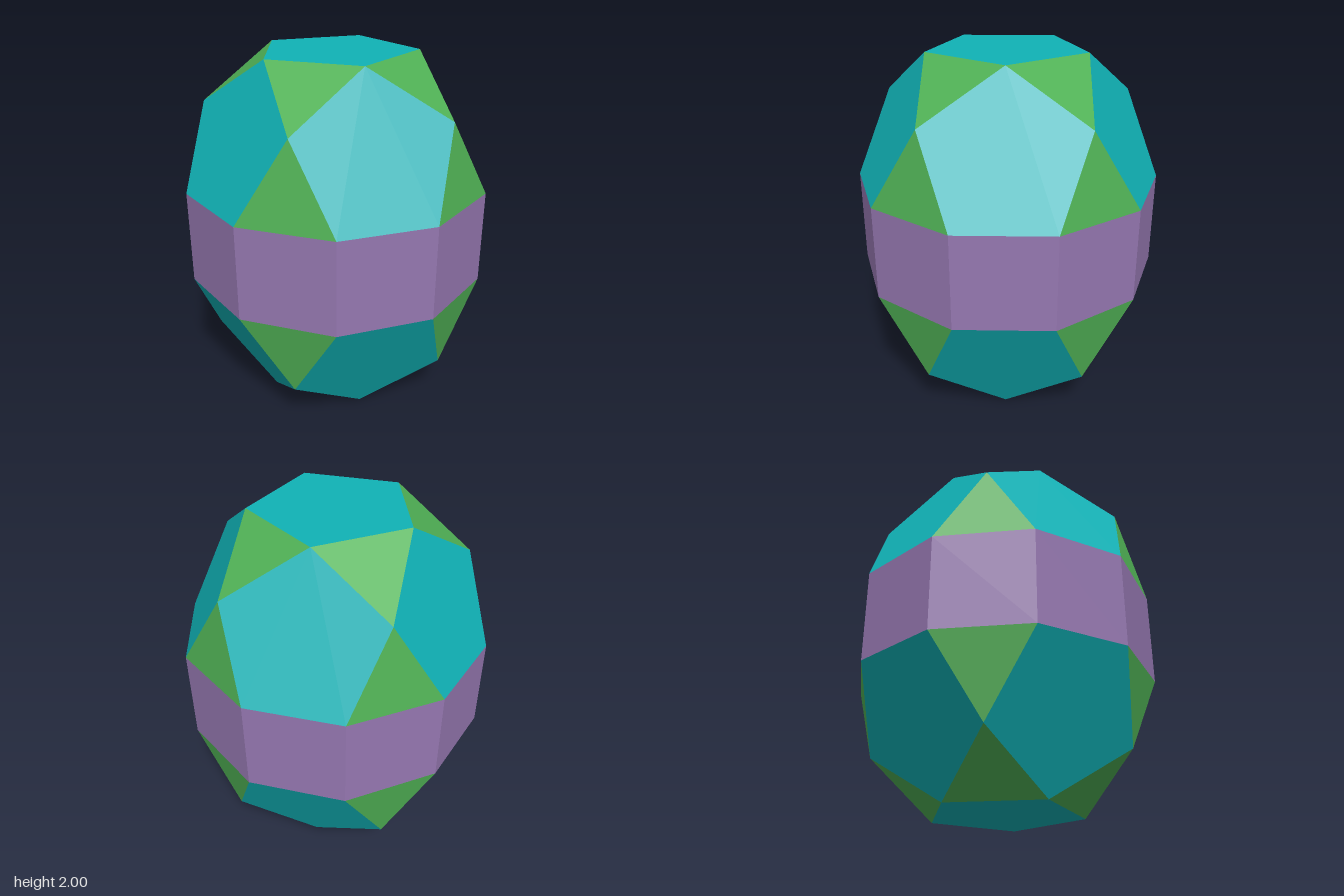
import * as THREE from 'three';

const EDGE = 0.53294; // every edge has the same length
const BELT = EDGE / 2; // half height of the belt

const teal = new THREE.MeshStandardMaterial({ name: 'teal', color: 0x10b2b6 });
const green = new THREE.MeshStandardMaterial({ name: 'green', color: 0x50b155 });
const purple = new THREE.MeshStandardMaterial({ name: 'purple', color: 0x9577b0 });

// Point on a horizontal ring; height is measured from the middle
const ringPoint = (radius, height, degrees) => {
  const a = THREE.MathUtils.degToRad(degrees);
  return new THREE.Vector3(radius * Math.cos(a), height, radius * Math.sin(a));
};

// Flat-shaded mesh from convex polygons, each wound to face outwards
function facesMesh(name, polygons, material) {
  const positions = [];
  for (const polygon of polygons) {
    const [a, b, c] = polygon;
    const normal = b.clone().sub(a).cross(c.clone().sub(a));
    const p = normal.dot(a) < 0 ? [...polygon].reverse() : polygon;
    for (let i = 1; i < p.length - 1; i++) {
      for (const v of [p[0], p[i], p[i + 1]]) positions.push(v.x, v.y + 1, v.z);
    }
  }
  const geometry = new THREE.BufferGeometry();
  geometry.setAttribute('position', new THREE.Float32BufferAttribute(positions, 3));
  geometry.computeVertexNormals();
  const mesh = new THREE.Mesh(geometry, material);
  mesh.name = name;
  return mesh;
}

// One rotunda cap: side = 1 for the upper, -1 for the lower
function createRotunda(name, side) {
  const cap = (deg) => ringPoint(EDGE * 0.85065, side * 1, deg);
  const mid = (deg) => ringPoint(EDGE * 1.37638, side * (BELT + EDGE * 0.85065), deg);
  const rim = (deg) => ringPoint(EDGE * 1.61803, side * BELT, deg);

  const pentagons = [[0, 72, 144, 216, 288].map(cap)];
  const triangles = [];
  for (let t = 0; t < 360; t += 72) {
    pentagons.push([cap(t), mid(t + 36), rim(t + 18), rim(t - 18), mid(t - 36)]);
    triangles.push([cap(t), cap(t + 72), mid(t + 36)]);
    triangles.push([mid(t + 36), rim(t + 18), rim(t + 54)]);
  }
  const group = new THREE.Group();
  group.name = name;
  group.add(
    facesMesh(name + 'Pentagons', pentagons, teal),
    facesMesh(name + 'Triangles', triangles, green)
  );
  return group;
}

// Ten squares around the middle
function createBelt() {
  const squares = [];
  for (let t = 18; t < 378; t += 36) {
    const corner = (height, deg) => ringPoint(EDGE * 1.61803, height, deg);
    squares.push([corner(-BELT, t), corner(BELT, t), corner(BELT, t + 36), corner(-BELT, t + 36)]);
  }
  return facesMesh('beltSquares', squares, purple);
}

export function createModel() {
  const model = new THREE.Group();
  model.name = 'elongatedBirotunda';
  model.add(createRotunda('upperRotunda', 1), createBelt(), createRotunda('lowerRotunda', -1));
  return model;
}
